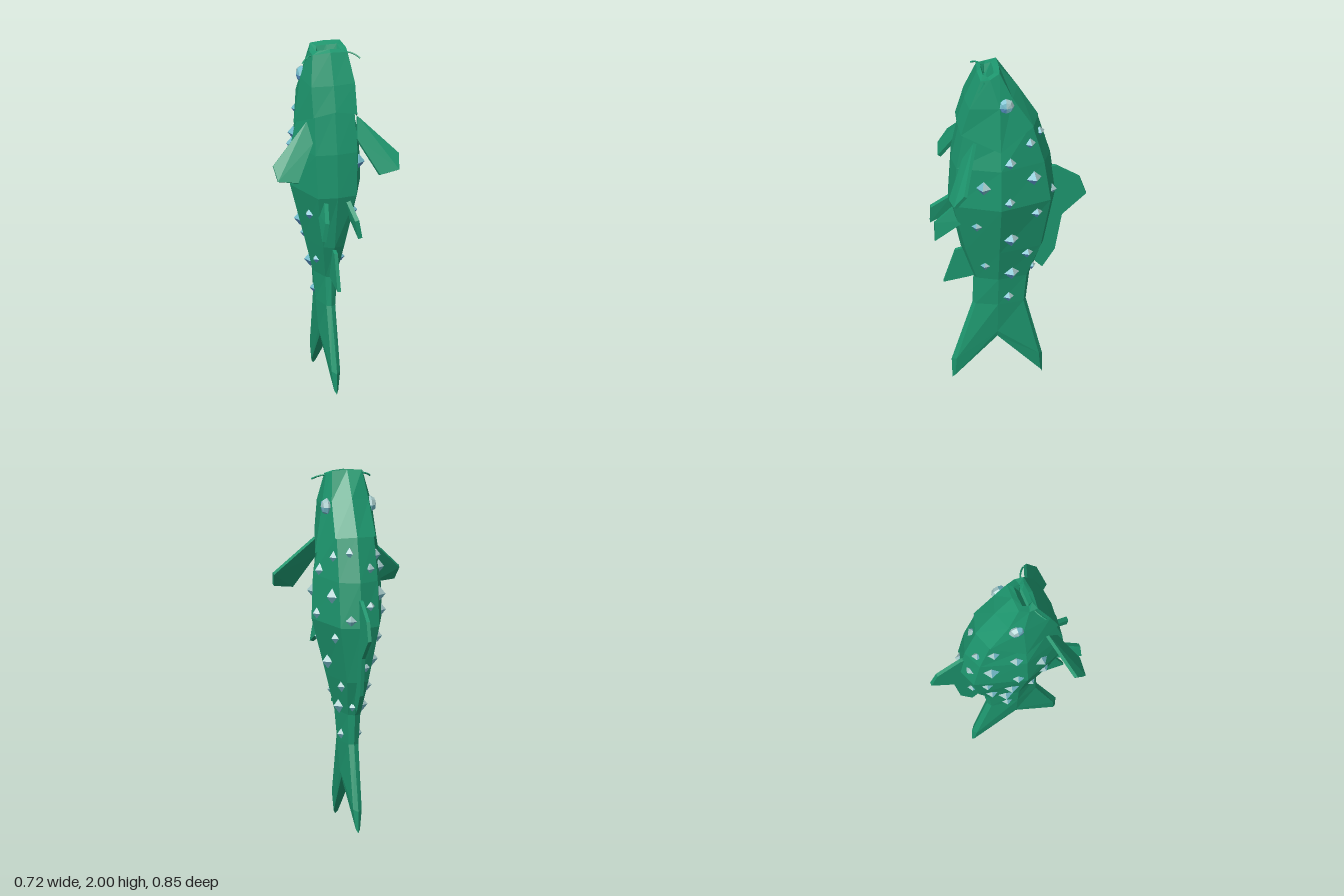
import * as THREE from 'three';
import { ConvexGeometry } from 'three/addons/geometries/ConvexGeometry.js';

// Half cross-section: back, backSide, mid, bellySide, belly. y is one height or five.
const section = (y, [bs, mid, bl], z) =>
  [0, bs, mid, bl, 0].map((x, i) => [x, Array.isArray(y) ? y[i] : y, z[i]]);

const MOUTH = [
  section(1.92, [0.045, 0.055, 0.045], [0.125, 0.125, 0.132, 0.14, 0.14]),
  section([1.985, 1.985, 1.966, 1.978, 1.982], [0.06, 0.07, 0.058], [0.092, 0.095, 0.132, 0.155, 0.158]),
];
const HEAD = [
  section([2.0, 1.995, 1.97, 1.962, 1.97], [0.085, 0.105, 0.1], [0.06, 0.065, 0.12, 0.172, 0.182]),
  section([1.86, 1.84, 1.8, 1.8, 1.8], [0.105, 0.142, 0.125], [-0.045, -0.005, 0.07, 0.238, 0.252]),
  section([1.665, 1.655, 1.535, 1.635, 1.66], [0.115, 0.18, 0.125], [-0.16, -0.12, 0.07, 0.285, 0.295]),
];
const BODY = [
  section([1.68, 1.67, 1.56, 1.66, 1.67], [0.106, 0.162, 0.113], [-0.15, -0.112, 0.07, 0.265, 0.275]),
  section(1.42, [0.11, 0.192, 0.12], [-0.225, -0.18, 0.07, 0.31, 0.325]),
  section(1.17, [0.11, 0.2, 0.11], [-0.255, -0.215, 0.07, 0.325, 0.34]),
  section(0.85, [0.06, 0.118, 0.06], [-0.19, -0.165, 0.07, 0.25, 0.27]),
  section(0.65, [0.035, 0.07, 0.03], [-0.11, -0.09, 0.07, 0.185, 0.2]),
  section(0.48, [0.028, 0.054, 0.025], [-0.09, -0.075, 0.07, 0.19, 0.205]),
  section([0.12, 0.13, 0.3, 0.13, 0.12], [0.024, 0.038, 0.024], [-0.18, -0.16, 0.07, 0.295, 0.32]),
  section([0, 0.02, 0.265, 0.02, 0], [0.012, 0.03, 0.012], [-0.18, -0.17, 0.07, 0.3, 0.315]),
];

// Joins mirrored sections from top to bottom with flat faces
function loft(sections, capTop, capBottom) {
  const rings = sections.map(s => [...s, ...[3, 2, 1].map(i => [-s[i][0], s[i][1], s[i][2]])]);
  const pos = [];
  const tri = (a, b, c) => pos.push(...a, ...b, ...c);
  for (let i = 0; i < rings.length - 1; i++) {
    for (let j = 0; j < 8; j++) {
      const k = (j + 1) % 8, u = rings[i], l = rings[i + 1];
      tri(u[j], u[k], l[k]);
      tri(u[j], l[k], l[j]);
    }
  }
  const cap = (r, flip) => {
    const t = flip ? (a, b, c) => tri(a, c, b) : tri;
    t(r[0], r[1], r[7]);
    for (const [a, b, c, d] of [[1, 2, 6, 7], [2, 3, 5, 6]]) {
      t(r[a], r[b], r[c]);
      t(r[a], r[c], r[d]);
    }
    t(r[3], r[4], r[5]);
  };
  if (capTop) cap(rings[0], true);
  if (capBottom) cap(rings[rings.length - 1], false);
  const geo = new THREE.BufferGeometry();
  geo.setAttribute('position', new THREE.Float32BufferAttribute(pos, 3));
  geo.computeVertexNormals();
  return geo;
}

function flat(geo) {
  const g = geo.index ? geo.toNonIndexed() : geo;
  g.computeVertexNormals();
  return g;
}

// Gem facets: upper front 0, upper back 1, lower front 2, lower back 0
function facetGroups(geo) {
  const p = geo.attributes.position;
  geo.clearGroups();
  for (let i = 0; i < p.count; i += 3) {
    const up = p.getY(i) + p.getY(i + 1) + p.getY(i + 2) > 0;
    const front = p.getZ(i) + p.getZ(i + 1) + p.getZ(i + 2) > 0;
    geo.addGroup(i, 3, up ? (front ? 0 : 1) : (front ? 2 : 0));
  }
  return geo;
}

// Flat fin in the middle plane, outline given as [z, y]
function midFin(outline, thick) {
  const shape = new THREE.Shape(outline.map(p => new THREE.Vector2(...p)));
  return new THREE.ExtrudeGeometry(shape, { depth: thick, bevelEnabled: false })
    .rotateY(-Math.PI / 2).translate(thick / 2, 0, 0);
}

// Convex fin of even thickness around a 3D outline
function slabFin(outline, thick) {
  const p = outline.map(v => new THREE.Vector3(...v));
  const n = p[1].clone().sub(p[0]).cross(p[p.length - 1].clone().sub(p[0])).setLength(thick / 2);
  return new ConvexGeometry(p.flatMap(v => [v.clone().add(n), v.clone().sub(n)]));
}

// Skin position and outward angle on the +x flank at height y and depth z
function skin(y, z) {
  const all = [...HEAD, ...BODY];
  const cut = [0, 1, 2, 3, 4].map(j => {
    let out = [0, 0];
    for (let i = 0; i < all.length - 1; i++) {
      const a = all[i][j], b = all[i + 1][j];
      if (a[1] >= y && y >= b[1]) {
        const t = (a[1] - y) / (a[1] - b[1] || 1);
        out = [a[0] + (b[0] - a[0]) * t, a[2] + (b[2] - a[2]) * t];
      }
    }
    return out;
  });
  let j = 0;
  while (j < 3 && z > cut[j + 1][1]) j++;
  const [a, b] = [cut[j], cut[j + 1]];
  const t = Math.max(0, (z - a[1]) / (b[1] - a[1]));
  return { x: a[0] + (b[0] - a[0]) * t, angle: Math.atan2(b[0] - a[0], b[1] - a[1]) };
}

// Studs as [z, y, radius], on both flanks and then on each half of the back
const STUDS = [
  [0.016, 1.455, 0.038], [-0.1, 1.55, 0.034], [0.164, 1.307, 0.043], [-0.12, 1.333, 0.045],
  [0.02, 1.21, 0.033], [0.196, 1.037, 0.032], [-0.138, 1.1, 0.033], [0.005, 0.94, 0.044],
  [-0.09, 0.815, 0.034], [0.143, 0.746, 0.027], [-0.005, 0.688, 0.044], [0.01, 0.524, 0.03],
];
const LEFT_BACK = [[-0.161, 1.58, 0.032], [-0.23, 1.21, 0.032], [-0.12, 0.7, 0.026]];
const RIGHT_BACK = [[-0.178, 1.49, 0.032], [-0.218, 1.285, 0.028], [-0.192, 0.937, 0.028]];

export function createModel() {
  const material = (name, color) => {
    const m = new THREE.MeshStandardMaterial({ color });
    m.name = name;
    return m;
  };
  const green = material('scaleGreen', 0x1d966e);
  const gem = [material('gemTeal', 0x74bccb), material('gemPale', 0xa3c6c6), material('gemBlue', 0x5590c2)];
  const model = new THREE.Group();
  model.name = 'fish';
  const add = (name, geo, mat = green) => {
    const m = new THREE.Mesh(geo, mat);
    m.name = name;
    model.add(m);
    return m;
  };

  // Head with open mouth, gill edge tucked into the body
  add('head', loft([...MOUTH, ...HEAD, BODY[0]], true, false));
  // Body tapering into the forked tail
  add('bodyAndTail', loft(BODY, true, true));

  // Middle fins
  add('dorsalFin', midFin([[-0.18, 1.33], [-0.255, 1.325], [-0.39, 1.24], [-0.425, 1.135], [-0.29, 1.01],
    [-0.25, 0.79], [-0.18, 0.68], [-0.14, 0.72], [-0.11, 0.8], [-0.18, 1.1]], 0.02));
  add('analFin', midFin([[0.2, 0.85], [0.3, 0.825], [0.365, 0.625], [0.217, 0.65], [0.16, 0.67]], 0.02));

  for (const s of [1, -1]) {
    const side = s > 0 ? 'left' : 'right';
    const flip = pts => pts.map(([x, y, z]) => [s * x, y, z]);

    // Paired fins
    add(side + 'PectoralFin', slabFin(flip([[0.145, 1.59, 0.21], [0.358, 1.38, 0.29],
      [0.344, 1.305, 0.345], [0.232, 1.29, 0.358], [0.125, 1.48, 0.27]]), 0.02));
    add(side + 'PelvicFin', slabFin(flip([[0.06, 1.15, 0.31], [0.085, 1.06, 0.427],
      [0.103, 0.955, 0.427], [0.08, 1.06, 0.25]]), 0.024));

    // Whisker
    const path = new THREE.CatmullRomCurve3(
      flip([[0.09, 1.955, 0.15], [0.13, 1.95, 0.165], [0.166, 1.927, 0.195]]).map(p => new THREE.Vector3(...p)));
    add(side + 'Whisker', flat(new THREE.TubeGeometry(path, 3, 0.005, 4)));

    // Eye
    const eye = add(side + 'Eye',
      facetGroups(flat(new THREE.SphereGeometry(0.047, 8, 4).rotateZ(Math.PI / 2))), gem);
    eye.scale.x = 0.7;
    eye.position.set(s * (skin(1.805, 0.035).x - 0.004), 1.805, 0.035);

    // Pointed studs along the flank and back
    for (const [z, y, r] of [...STUDS, ...(s > 0 ? LEFT_BACK : RIGHT_BACK)]) {
      const { x, angle } = skin(y, z);
      const onBack = Math.abs(angle) < 1.2 && z < -0.11 && (s > 0 ? LEFT_BACK : RIGHT_BACK).some(b => b[1] === y);
      const geo = new THREE.OctahedronGeometry(r).scale(0.8, 1, 1).rotateY(onBack ? Math.PI / 2 - angle : angle);
      if (s < 0) geo.rotateY(-2 * (onBack ? Math.PI / 2 - angle : angle));
      const stud = add(side + 'Stud', facetGroups(geo), gem);
      stud.position.set(s * x, y, z);
    }
  }
  return model;
}
